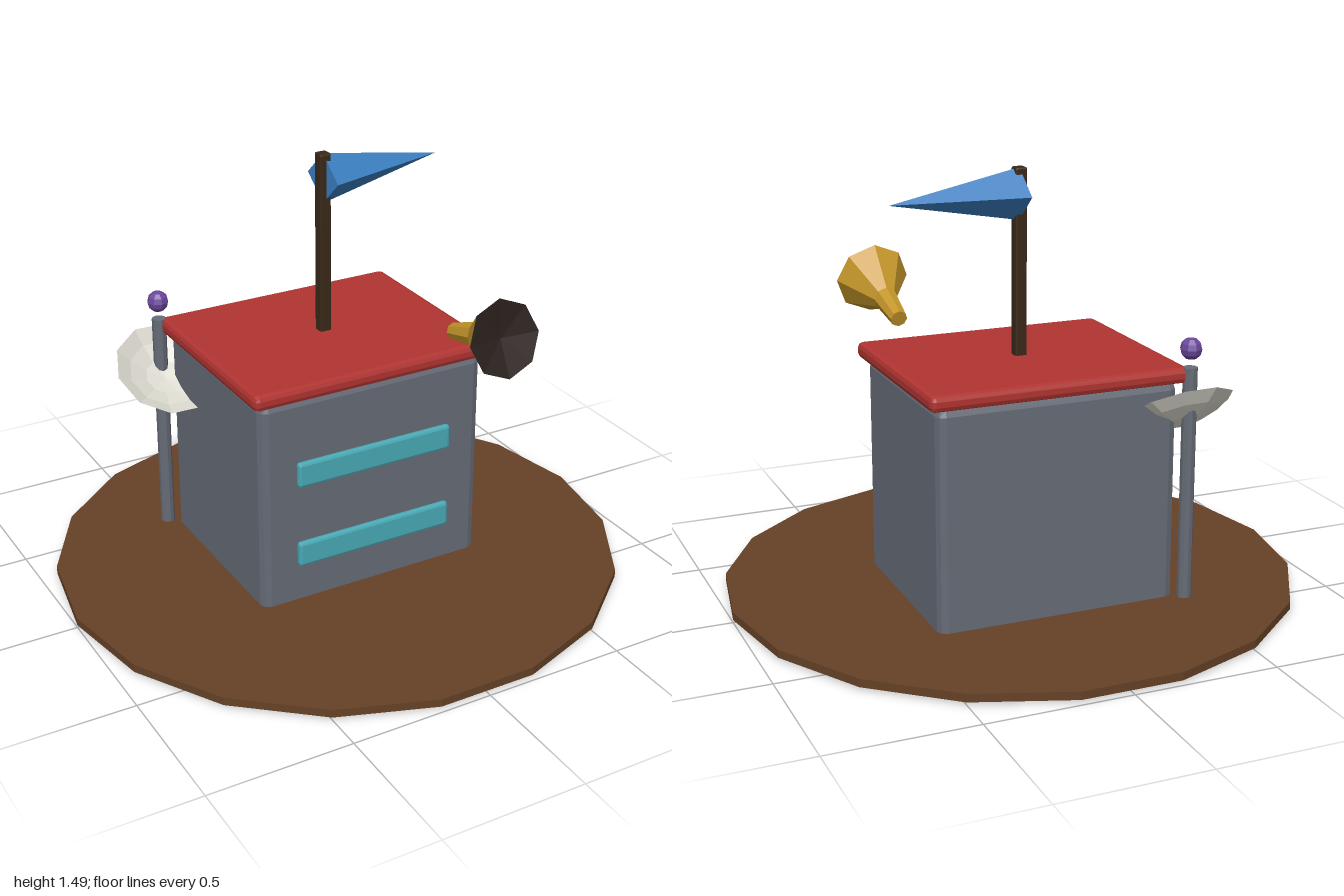
import * as THREE from 'three';
import { RoundedBoxGeometry } from 'three/addons/geometries/RoundedBoxGeometry.js';

const mat = (color, side = THREE.FrontSide) =>
  new THREE.MeshStandardMaterial({ color, flatShading: true, side });

const profile = (pts) => pts.map(([r, y]) => new THREE.Vector2(r, y));

export function createModel() {
  const model = new THREE.Group();

  const grey = mat(0x666b76);
  const red = mat(0xb03431);
  const teal = mat(0x48a9b5);
  const darkWood = mat(0x3a2818);

  function add(name, geometry, material, x, y, z) {
    const mesh = new THREE.Mesh(geometry, material);
    mesh.name = name;
    mesh.position.set(x, y, z);
    model.add(mesh);
    return mesh;
  }
  // Box with a single chamfer on every edge
  const chamferBox = (w, h, d, c) => new RoundedBoxGeometry(w, h, d, 1, c);

  const cz = -0.09; // depth centre of the hut

  // Ground disc, the hut sinks slightly through it
  const ground = add('ground', new THREE.CylinderGeometry(1, 1, 0.028, 18), mat(0x654126), 0, 0.023, 0);
  ground.rotation.y = Math.PI / 2;

  // Hut and roof slab
  add('walls', chamferBox(0.85, 0.8, 0.7, 0.03), grey, 0, 0.4, cz);
  add('roof', chamferBox(0.91, 0.055, 0.75, 0.018), red, 0, 0.822, cz);

  // Two long strips on the front wall
  for (const y of [0.217, 0.52]) {
    add('frontStrip', chamferBox(0.59, 0.09, 0.04, 0.01), teal, 0, y, 0.258);
  }

  // Mast and pennant
  add('mast', chamferBox(0.042, 0.66, 0.042, 0.006), darkWood, 0, 1.157, cz);
  const pennant = new THREE.ConeGeometry(0.088, 0.473, 4);
  pennant.translate(0, 0.2365, 0);
  pennant.rotateZ(-Math.PI / 2);
  pennant.rotateY(0.1);
  add('pennant', pennant, mat(0x3a7fc0), 0, 1.397, cz);

  // Horn, pointing forward and tilted up
  const horn = new THREE.Group();
  horn.name = 'horn';
  horn.position.set(0.3, 0.917, 0.275);
  horn.rotation.x = Math.PI / 2 - 0.287;
  const bell = new THREE.Mesh(
    new THREE.LatheGeometry(profile([[0, 0], [0.03, 0], [0.043, 0.15], [0.133, 0.305]]), 8),
    mat(0xc4952a));
  bell.name = 'hornBell';
  const mouth = new THREE.Mesh(
    new THREE.LatheGeometry(profile([[0, 0.28], [0.133, 0.305]]), 8),
    mat(0x2a201c, THREE.DoubleSide));
  mouth.name = 'hornMouth';
  horn.add(bell, mouth);
  model.add(horn);

  // Corner post with a ball above it
  add('post', new THREE.CylinderGeometry(0.025, 0.025, 0.82, 10), grey, -0.458, 0.438, -0.455);
  add('ball', new THREE.SphereGeometry(0.038, 8, 6), mat(0x6b479c), -0.458, 0.912, -0.457);

  // Shallow dish leaning forward on the post
  const dish = add('dish',
    new THREE.LatheGeometry(profile([[0, -0.065], [0.07, -0.056], [0.135, -0.032], [0.19, 0]]), 10),
    mat(0xdddbd0, THREE.DoubleSide), -0.463, 0.69, -0.375);
  dish.quaternion.setFromUnitVectors(
    new THREE.Vector3(0, 1, 0), new THREE.Vector3(0.02, 0.83, 0.55).normalize());
  dish.rotateY(Math.PI / 2);

  return model;
}
